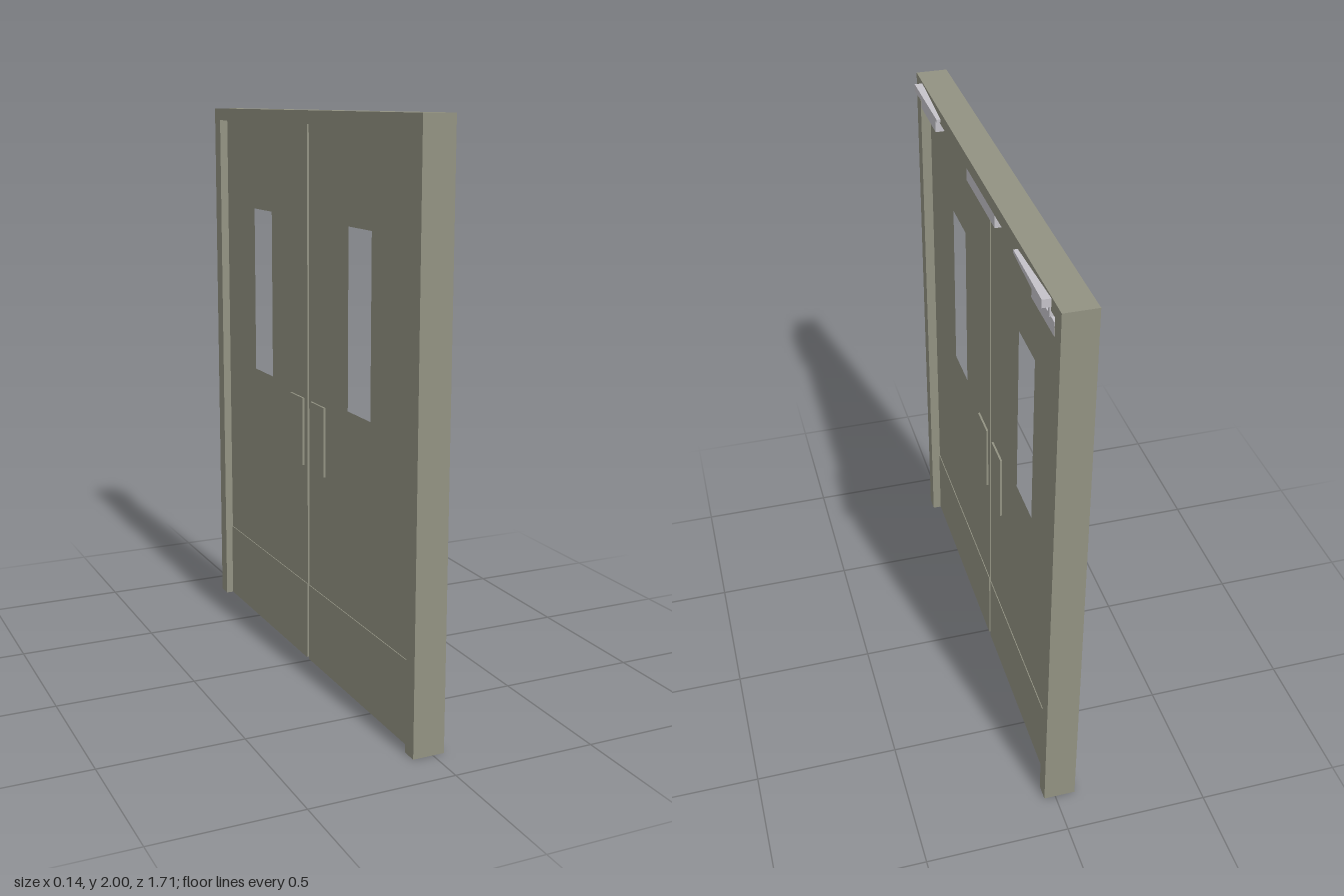
import * as THREE from 'three';

const steel = new THREE.MeshStandardMaterial({ color: 0x929282 });
steel.name = 'paintedSteel';
const metal = new THREE.MeshStandardMaterial({ color: 0xc5c3c9 });
metal.name = 'brushedMetal';

// Doors lie across z, and their thickness runs along x
const X_BACK = -0.041, X_FRONT = 0.005;

// Box given by its limits on each axis
function box(name, mat, [x0, x1], [y0, y1], [z0, z1]) {
  const mesh = new THREE.Mesh(new THREE.BoxGeometry(x1 - x0, y1 - y0, z1 - z0), mat);
  mesh.position.set((x0 + x1) / 2, (y0 + y1) / 2, (z0 + z1) / 2);
  mesh.name = name;
  return mesh;
}

// Outline in the (z, y) plane, extruded from x0 to x1
function panel(name, points, holes, x0, x1) {
  const toPoints = (list) => list.map(([z, y]) => new THREE.Vector2(-z, y));
  const shape = new THREE.Shape(toPoints(points));
  holes.forEach((h) => shape.holes.push(new THREE.Path(toPoints(h))));
  const geo = new THREE.ExtrudeGeometry(shape, { depth: x1 - x0, bevelEnabled: false });
  geo.rotateY(Math.PI / 2);
  geo.translate(x0, 0, 0);
  const mesh = new THREE.Mesh(geo, steel);
  mesh.name = name;
  return mesh;
}

const rect = (z0, z1, y0, y1) => [[z0, y0], [z1, y0], [z1, y1], [z0, y1]];

function createLeaf(side, leafZ, windowZ, plateZ, kickZ) {
  const leaf = new THREE.Group();
  leaf.name = side + 'Door';
  leaf.add(panel('doorLeaf', rect(...leafZ, 0.003, 1.955), [rect(...windowZ, 1.01, 1.63)], X_BACK, X_FRONT));
  // Push plates and kick plates on both faces
  for (const [face, dir] of [[X_FRONT, 1], [X_BACK, -1]]) {
    const span = (t) => (dir > 0 ? [face, face + t] : [face - t, face]);
    leaf.add(box('pushPlate', steel, span(0.007), [0.735, 0.985], plateZ));
    leaf.add(box('kickPlate', steel, span(0.003), [0, 0.29], kickZ));
  }
  return leaf;
}

function createCloser(side, s) {
  const closer = new THREE.Group();
  closer.name = side + 'Closer';
  const zSpan = (a, b) => (s > 0 ? [a, b] : [-b, -a]);
  closer.add(box('closerBody', metal, [X_FRONT, 0.039], [1.89, 1.935], zSpan(0.578, 0.793)));
  closer.add(box('closerSpindle', metal, [0.03, 0.044], [1.935, 1.972], zSpan(0.748, 0.762)));
  // Arm tapers towards the middle of the doorway
  const arm = box('closerArm', metal, [0.04, 0.068], [1.968, 1.995], zSpan(0.465, 0.765));
  const pos = arm.geometry.attributes.position;
  for (let i = 0; i < pos.count; i++) {
    if (pos.getZ(i) * s < 0) pos.setXY(i, pos.getX(i) * 0.5, pos.getY(i) * 0.4);
  }
  arm.geometry.computeVertexNormals();
  closer.add(arm);
  return closer;
}

export function createModel() {
  const model = new THREE.Group();
  model.name = 'doubleDoor';

  // Frame: two jambs and a header
  model.add(panel('doorFrame', [
    [0.855, 0], [0.855, 2], [-0.855, 2], [-0.855, 0],
    [-0.8, 0], [-0.8, 1.955], [0.8, 1.955], [0.8, 0],
  ], [], -0.071, 0.04));

  // Leaves, with a narrow gap where they meet
  model.add(createLeaf('left', [-0.013, 0.8], [0.305, 0.475], [0.012, 0.126], [-0.011, 0.8]));
  model.add(createLeaf('right', [-0.8, -0.028], [-0.52, -0.35], [-0.17, -0.057], [-0.8, -0.031]));

  // Closers and the centre catch under the header
  model.add(createCloser('left', 1), createCloser('right', -1));
  model.add(box('centreCatch', metal, [X_FRONT, 0.039], [1.91, 1.954], [-0.19, 0.15]));
  return model;
}
